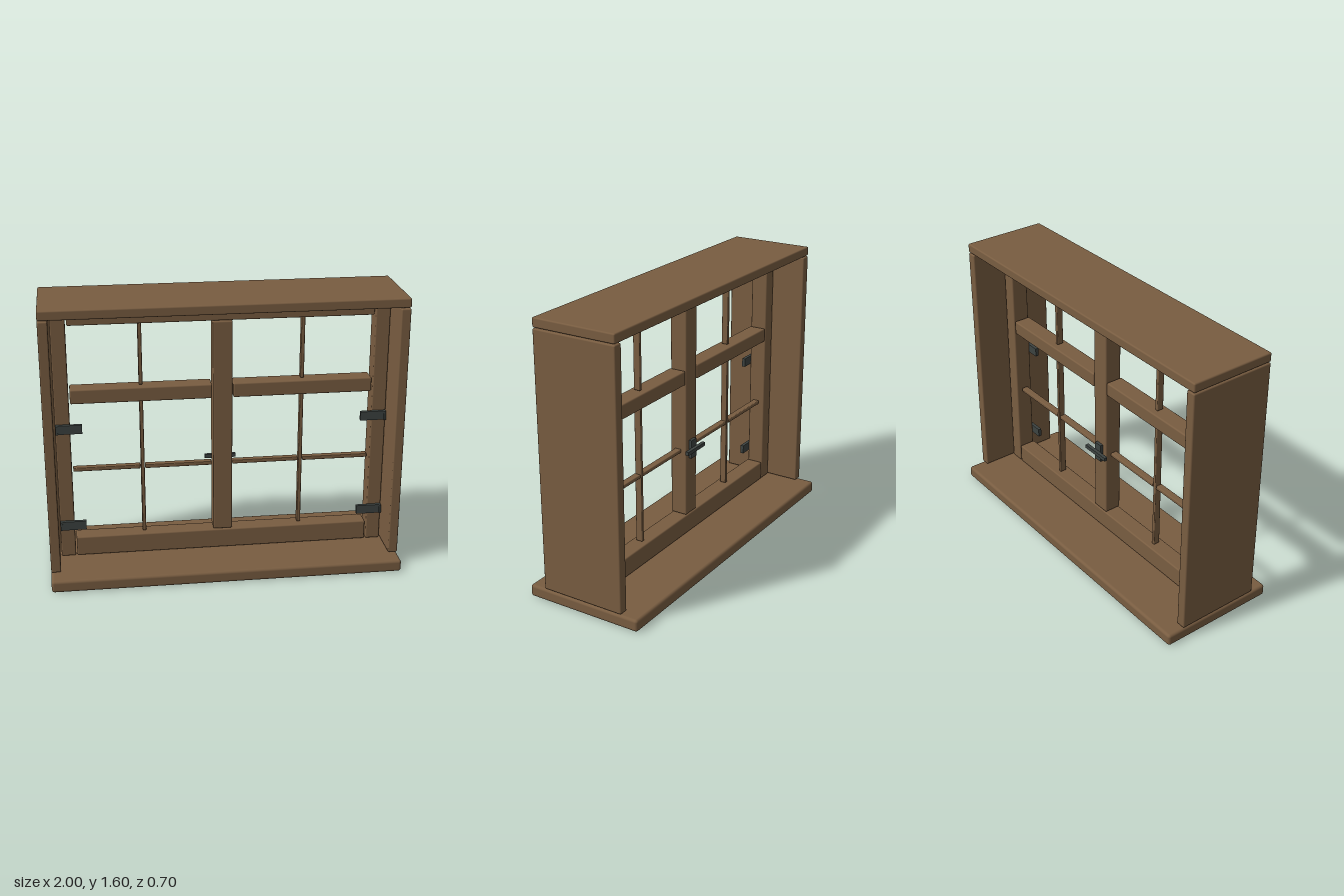
import * as THREE from 'three';
import { RoundedBoxGeometry } from 'three/addons/geometries/RoundedBoxGeometry.js';

export function createModel() {
  const model = new THREE.Group();
  model.name = 'windowFrame';
  const wood = new THREE.MeshStandardMaterial({ name: 'brown wood', color: 0x795d41 });
  const metal = new THREE.MeshStandardMaterial({ name: 'dark iron', color: 0x3d4341 });

  // Box between two corners, with softened edges when r > 0
  function block(name, material, [x0, x1], [y0, y1], [z0, z1], r = 0.008) {
    const w = x1 - x0, h = y1 - y0, d = z1 - z0;
    const geometry = r > 0
      ? new RoundedBoxGeometry(w, h, d, 2, r)
      : new THREE.BoxGeometry(w, h, d);
    const mesh = new THREE.Mesh(geometry, material);
    mesh.name = name;
    mesh.position.set((x0 + x1) / 2, (y0 + y1) / 2, (z0 + z1) / 2);
    model.add(mesh);
    return mesh;
  }
  // Range along x, mirrored for the right side
  const span = (s, a, b) => (s > 0 ? [a, b] : [-b, -a]);

  const deep = [-0.25, 0.25];
  const sash = [-0.05, 0.053];
  const thin = [-0.02, 0.02];

  // Outer casing
  block('sill', wood, [-1, 1], [0, 0.07], [-0.35, 0.35], 0.016);
  block('head', wood, [-1, 1], [1.547, 1.6], deep);

  // Rails and centre post
  block('topRail', wood, [-0.85, 0.85], [1.457, 1.542], sash);
  block('bottomRail', wood, [-0.85, 0.85], [0.075, 0.19], sash);
  block('centrePost', wood, [-0.055, 0.055], [0.195, 1.453], sash);

  for (const s of [1, -1]) {
    const side = s > 0 ? 'left' : 'right';
    block(side + 'Jamb', wood, span(s, 0.945, 1), [0.075, 1.542], deep);
    block(side + 'Stile', wood, span(s, 0.857, 0.94), [0.075, 1.542], sash);
    block(side + 'MiddleRail', wood, span(s, 0.06, 0.85), [1.007, 1.09], sash);

    // Glazing bars
    block(side + 'UpperBar', wood, span(s, 0.445, 0.466), [1.095, 1.453], thin, 0.005);
    block(side + 'LowerBar', wood, span(s, 0.445, 0.466), [0.195, 1.003], thin, 0.005);
    block(side + 'InnerCrossBar', wood, span(s, 0.06, 0.442), [0.588, 0.61], thin, 0.005);
    block(side + 'OuterCrossBar', wood, span(s, 0.469, 0.85), [0.588, 0.61], thin, 0.005);

    // Strap hinges on the front face
    for (const y of [0.275, 0.865]) {
      block(side + 'Hinge', metal, span(s, 0.79, 0.925), [y - 0.026, y + 0.026], [0.053, 0.073], 0);
      block(side + 'HingeKnuckle', metal, span(s, 0.925, 0.937), [y - 0.026, y + 0.026], [0.053, 0.08], 0);
    }
  }

  // Latch on the back of the centre post
  block('latchPlate', metal, [-0.025, 0.025], [0.55, 0.66], [-0.068, -0.05], 0);
  block('latchLever', metal, [-0.09, 0.09], [0.594, 0.616], [-0.088, -0.068], 0);

  return model;
}
